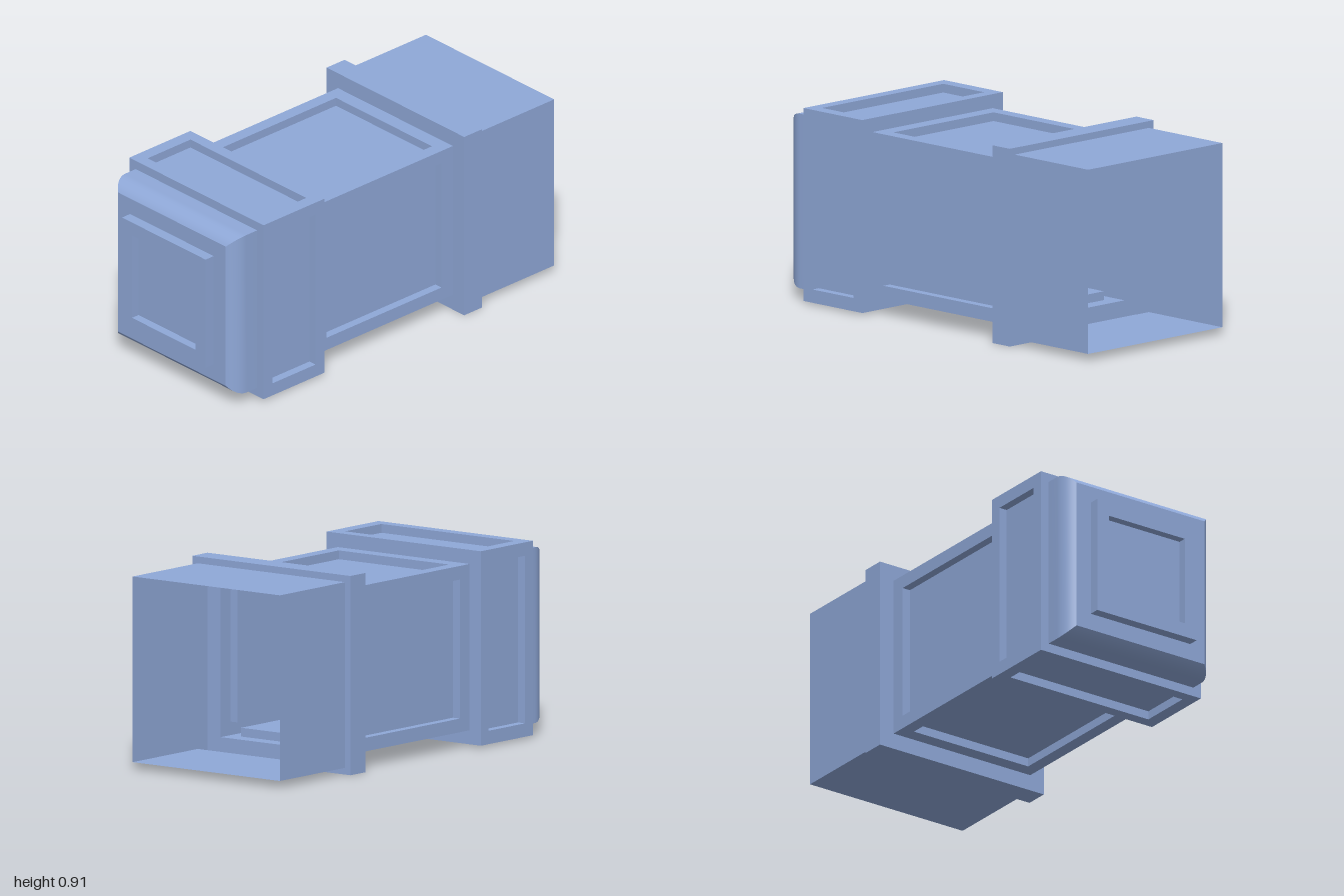
import * as THREE from 'three';
import { toCreasedNormals } from 'three/addons/utils/BufferGeometryUtils.js';

const material = new THREE.MeshStandardMaterial({ color: 0x8fa8d8, side: THREE.DoubleSide });

// Skin rectangular loops given as [halfWidth, halfHeight, z]
function loft(name, loops) {
  const corners = ([w, h, z]) => [[-w, -h, z], [w, -h, z], [w, h, z], [-w, h, z]];
  const pos = [];
  const tri = (a, b, c) => pos.push(...a, ...b, ...c);
  for (let k = 0; k < loops.length - 1; k++) {
    const a = corners(loops[k]), b = corners(loops[k + 1]);
    const closed = loops[k + 1][0] === 0;
    for (let i = 0; i < 4; i++) {
      const j = (i + 1) % 4;
      tri(a[i], a[j], b[j]);
      if (!closed) tri(a[i], b[j], b[i]);
    }
  }
  const geo = new THREE.BufferGeometry();
  geo.setAttribute('position', new THREE.Float32BufferAttribute(pos, 3));
  const mesh = new THREE.Mesh(toCreasedNormals(geo, 0.4), material);
  mesh.name = name;
  return mesh;
}

const squares = (name, profile) => loft(name, profile.map(([r, z]) => [r, r, z]));

// Square tube whose four walls each carry a recessed panel
function panelledTube(name, half, z0, z1, panelHalf, panelLength, depth) {
  const tube = new THREE.Group();
  tube.name = name;
  const len = (z1 - z0) / 2;
  for (let i = 0; i < 4; i++) {
    const wall = loft(name + 'Wall', [
      [half, len, 0],
      [panelHalf, panelLength / 2, 0],
      [panelHalf, panelLength / 2, -depth],
      [0, 0, -depth],
    ]);
    wall.geometry.rotateX(-Math.PI / 2);
    wall.geometry.translate(0, half, (z0 + z1) / 2);
    wall.rotation.z = i * Math.PI / 2;
    tube.add(wall);
  }
  return tube;
}

export function createModel() {
  const model = new THREE.Group();
  model.name = 'squareColumn';
  const inner = new THREE.Group();
  inner.name = 'column';
  inner.position.y = 0.453;
  model.add(inner);

  // Open rear sleeve and the flange in front of it
  inner.add(squares('rearSleeve', [[0.422, -1], [0.422, -0.53]]));
  inner.add(squares('flange', [[0.422, -0.53], [0.453, -0.53], [0.453, -0.42], [0.378, -0.42]]));

  // Panelled shaft and front collar, joined by a step
  inner.add(panelledTube('shaft', 0.378, -0.42, 0.425, 0.316, 0.705, 0.04));
  inner.add(squares('collarStep', [[0.378, 0.425], [0.442, 0.425]]));
  inner.add(panelledTube('collar', 0.442, 0.425, 0.8, 0.381, 0.262, 0.04));

  // Front cap with rounded shoulders
  const cap = [[0.442, 0.8], [0.4, 0.8]];
  const radius = 0.101, sweep = 1.0;
  for (let i = 0; i <= 10; i++) {
    const t = sweep * i / 10;
    cap.push([0.4 - radius * (1 - Math.cos(t)), 0.95 - radius * (Math.sin(sweep) - Math.sin(t))]);
  }
  cap.push([0.275, 0.95]);
  inner.add(squares('frontCap', cap));

  // Raised end plate with a sunken square
  inner.add(squares('endPlate', [[0.275, 0.95], [0.275, 1], [0.209, 1], [0.209, 0.96], [0, 0.96]]));
  return model;
}
